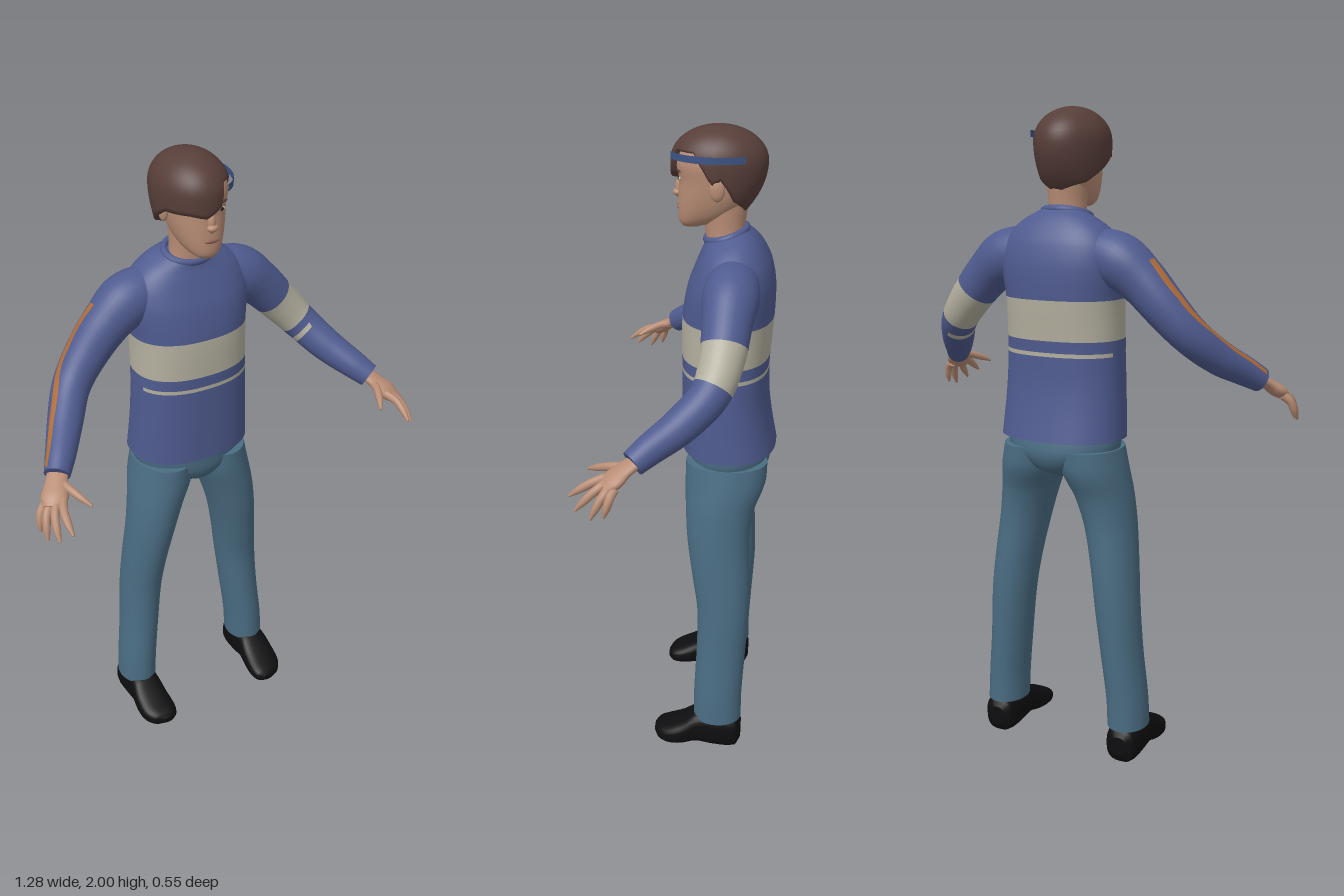
import * as THREE from 'three';

const mat = (name, color) => {
  const m = new THREE.MeshStandardMaterial({ color });
  m.name = name;
  return m;
};
const skin = mat('skin', 0xb88d75), hair = mat('hair brown', 0x573e39), shirt = mat('shirt blue', 0x4f5b8f);
const stripe = mat('stripe grey', 0xb3af9f), jeans = mat('denim', 0x4a6c82), black = mat('shoe black', 0x0e0e10);
const orange = mat('orange trim', 0xb06c38), bandBlue = mat('headband blue', 0x3c5484);
const lips = mat('lips', 0x96655a), dark = mat('eye dark', 0x241c1c);
bandBlue.side = THREE.DoubleSide;

const V = (x, y, z) => new THREE.Vector3(x, y, z);
const pow = (v, e) => Math.sign(v) * Math.abs(v) ** e;

// Skin a list of rings (counter-clockwise about the direction of travel), capped at both ends.
// pick(i, j) chooses the index of the material for each quad.
function loft(name, rings, mats, pick = () => 0) {
  const n = rings[0].length, pos = [], faces = mats.map(() => []);
  rings.forEach(r => r.forEach(p => pos.push(p.x, p.y, p.z)));
  for (let i = 0; i < rings.length - 1; i++) for (let j = 0; j < n; j++) {
    const k = (j + 1) % n, a = i * n + j, b = i * n + k;
    faces[pick(i, j)].push(a, b, b + n, a, b + n, a + n);
  }
  [rings[0], rings[rings.length - 1]].forEach((r, end) => {
    const base = pos.length / 3, mid = V(0, 0, 0);
    r.forEach(p => { pos.push(p.x, p.y, p.z); mid.addScaledVector(p, 1 / n); });
    pos.push(mid.x, mid.y, mid.z);
    for (let j = 0; j < n; j++) {
      const a = base + j, b = base + (j + 1) % n;
      faces[0].push(base + n, end ? a : b, end ? b : a);
    }
  });
  const g = new THREE.BufferGeometry();
  g.setAttribute('position', new THREE.Float32BufferAttribute(pos, 3));
  g.setIndex(faces.flat());
  let start = 0;
  faces.forEach((f, m) => { g.addGroup(start, f.length, m); start += f.length; });
  g.computeVertexNormals();
  const mesh = new THREE.Mesh(g, mats.length > 1 ? mats : mats[0]);
  mesh.name = name;
  return mesh;
}

// Smooth lookup in a table whose first column is the position; all rows have equal length.
function sample(rows, x) {
  let i = 0;
  while (i < rows.length - 2 && x > rows[i + 1][0]) i++;
  const a = rows[i], b = rows[i + 1], h = b[0] - a[0], t = (x - a[0]) / h;
  const slope = (k, c) => {
    const p = rows[Math.max(k - 1, 0)], q = rows[Math.min(k + 1, rows.length - 1)];
    return (q[c] - p[c]) / (q[0] - p[0]);
  };
  return a.map((_, c) => c === 0 ? x : a[c] * (1 + 2 * t) * (1 - t) ** 2 + b[c] * t * t * (3 - 2 * t)
    + h * (slope(i, c) * t * (1 - t) ** 2 - slope(i + 1, c) * t * t * (1 - t)));
}
const steps = (rows, k) => rows.slice(1).flatMap((r, i) =>
  Array.from({ length: k }, (_, s) => rows[i][0] + (r[0] - rows[i][0]) * s / k)).concat(rows[rows.length - 1][0]);

// Upright body part from rows of [y, centre x, half width, front z, back z, optional tilt].
function column(name, rows, mats, { k = 4, n = 40, e = 1, sx = 1, pick } = {}) {
  const ys = steps(rows, k);
  const rings = ys.map(y => {
    const [, cx, rx, zf, zb, tilt = 0] = sample(rows, y);
    return Array.from({ length: n }, (_, j) => {
      const a = j / n * Math.PI * 2, dz = (zf - zb) / 2 * pow(Math.cos(a), e);
      return V(cx * sx + rx * pow(Math.sin(a), e), y - dz * tilt, (zf + zb) / 2 + dz);
    });
  });
  return loft(name, rings, mats, pick && ((i, j) => pick((ys[i] + ys[i + 1]) / 2, (j + 0.5) / n * Math.PI * 2)));
}

// Limb along a curve with varying radius; flat squashes it, twist turns its sections.
function limb(name, pts, radii, mats, { rows = 12, n = 14, flat = 1, twist = 0, pick } = {}) {
  const curve = new THREE.CatmullRomCurve3(pts), rTable = radii.map((r, i) => [i / (radii.length - 1), r]);
  const rings = Array.from({ length: rows + 1 }, (_, i) => {
    const t = i / rows, c = curve.getPoint(t), d = curve.getTangent(t), r = sample(rTable, t)[1];
    const u = V(0, 1, 0).addScaledVector(d, -d.y).normalize(), w = d.clone().cross(u);
    return Array.from({ length: n }, (_, j) => {
      const a = j / n * Math.PI * 2 + twist * t;
      return c.clone().addScaledVector(u, Math.cos(a) * r * flat).addScaledVector(w, Math.sin(a) * r);
    });
  });
  return loft(name, rings, mats, pick);
}

function blob(name, m, p, s) {
  const mesh = new THREE.Mesh(new THREE.SphereGeometry(1, 20, 14), m);
  mesh.name = name;
  mesh.position.set(...p);
  mesh.scale.set(...s);
  return mesh;
}

function buildHead() {
  const g = new THREE.Group();
  g.name = 'head';
  g.add(column('neck', [[1.62, 0, 0.068, -0.05, -0.17], [1.7, 0, 0.057, -0.045, -0.16], [1.79, 0, 0.06, -0.03, -0.17]], [skin]));
  g.add(column('face', [[1.712, 0, 0.022, 0.02, -0.03], [1.725, 0, 0.043, 0.031, -0.07], [1.755, 0, 0.063, 0.034, -0.13],
    [1.8, 0, 0.077, 0.033, -0.17], [1.85, 0, 0.084, 0.031, -0.185], [1.9, 0, 0.088, 0.038, -0.19],
    [1.95, 0, 0.075, 0.015, -0.17], [1.98, 0, 0.04, -0.03, -0.12]], [skin], { e: 0.88 }));
  g.add(blob('nose', skin, [0, 1.82, 0.031], [0.012, 0.03, 0.012]), blob('noseTip', skin, [0, 1.808, 0.036], [0.017, 0.011, 0.014]));
  g.add(blob('mouth', lips, [0, 1.768, 0.032], [0.023, 0.007, 0.006]));
  for (const s of [1, -1]) {
    g.add(blob('ear', skin, [s * 0.09, 1.838, -0.085], [0.012, 0.034, 0.022]));
    g.add(blob('eye', stripe, [s * 0.034, 1.855, 0.025], [0.014, 0.006, 0.005]));
    g.add(blob('iris', dark, [s * 0.034, 1.855, 0.028], [0.006, 0.006, 0.004]));
    const brow = blob('eyebrow', hair, [s * 0.036, 1.877, 0.029], [0.02, 0.004, 0.005]);
    brow.rotation.y = s * 0.3;
    g.add(brow);
  }
  // Swept hair: the lower edge follows a hairline given as [degrees from front, y].
  const line = [[-180, 1.76], [-120, 1.785], [-95, 1.82], [-70, 1.855], [-35, 1.855], [-10, 1.845], [14, 1.87], [25, 1.935],
    [60, 1.935], [72, 1.9], [84, 1.85], [95, 1.865], [115, 1.8], [150, 1.765], [180, 1.76]];
  const n = 72, rows = 18, rings = [];
  for (let i = -1; i <= rows; i++) rings.push(Array.from({ length: n }, (_, j) => {
    const deg = (j / n) * 360 - 180, a = deg * Math.PI / 180;
    const q = line.findIndex(p => p[0] > deg), [d0, y0] = line[q - 1], [d1, y1] = line[q];
    const low = y0 + (y1 - y0) * (deg - d0) / (d1 - d0);
    const y = low + (1.999 - low) * Math.sin(Math.max(i, 0) / rows * Math.PI / 2);
    const back = Math.max(0, -Math.cos(a));
    let r = y > 1.9 ? Math.sqrt(1 - ((y - 1.9) / 0.1) ** 2) : 1 - (1.9 - y) ** 2 * (6 + 16 * back);
    if (i < 0) r *= 0.82;
    return V(-0.008 + 0.108 * r * Math.sin(a), y, -0.083 + 0.14 * r * Math.cos(a));
  }));
  g.add(loft('hair', rings, [hair]));
  const band = new THREE.Mesh(new THREE.CylinderGeometry(1, 1, 0.02, 28, 1, true, 0.4, 1.75), bandBlue);
  band.name = 'headband';
  band.position.set(-0.004, 1.922, -0.083);
  band.scale.set(0.112, 1, 0.146);
  g.add(band);
  return g;
}

function buildArm(s) {
  const g = new THREE.Group(), P = (x, y, z) => V(x * s, y, z);
  g.name = s > 0 ? 'leftArm' : 'rightArm';
  const path = [P(0.1, 1.59, -0.135), P(0.19, 1.562, -0.135), P(0.26, 1.51, -0.13), P(0.335, 1.43, -0.122),
    P(0.4, 1.355, -0.095), P(0.46, 1.285, -0.02), P(0.515, 1.235, 0.06), P(0.545, 1.208, 0.1)];
  // Left sleeve carries a broad and a thin band, right sleeve a line along its top.
  const pick = s > 0
    ? (i, j) => (i >= 16 && i < 23) || (i === 25 && j > 3 && j < 20) ? 1 : 0
    : (i, j) => i >= 11 && i < 41 && (j === 0 || j === 31) ? 1 : 0;
  g.add(limb('sleeve', path, [0.07, 0.082, 0.072, 0.064, 0.057, 0.052, 0.044, 0.038], [shirt, s > 0 ? stripe : orange],
    { rows: 42, n: 32, twist: s > 0 ? 0 : 0.9, pick }));
  g.add(limb('palm', [P(0.535, 1.217, 0.085), P(0.56, 1.192, 0.125), P(0.578, 1.172, 0.15), P(0.592, 1.155, 0.172)],
    [0.029, 0.034, 0.04, 0.03], [skin], { flat: 0.52, n: 18 }));
  const fingers = [['indexFinger', [0.562, 1.171, 0.172], [0.58, 1.118, 0.272]], ['middleFinger', [0.58, 1.165, 0.166], [0.612, 1.092, 0.25]],
    ['ringFinger', [0.594, 1.16, 0.156], [0.63, 1.076, 0.206]], ['littleFinger', [0.604, 1.157, 0.143], [0.635, 1.086, 0.168]],
    ['thumb', [0.543, 1.195, 0.115], [0.5, 1.163, 0.23]]];
  for (const [name, a, b] of fingers) {
    const A = P(...a), B = P(...b), at = (t, lift) => A.clone().lerp(B, t).add(P(lift, lift, 0));
    g.add(limb(name, [A, at(0.35, 0.008), at(0.7, 0.006), B], [0.014, 0.0125, 0.011, 0.004], [skin], { n: 10 }));
  }
  return g;
}

function buildLeg(s) {
  const g = new THREE.Group();
  g.name = s > 0 ? 'leftLeg' : 'rightLeg';
  g.add(column('trouserLeg', [[0.11, 0.222, 0.063, -0.035, -0.192], [0.2, 0.217, 0.063, -0.036, -0.192], [0.35, 0.201, 0.064, -0.042, -0.2],
    [0.5, 0.187, 0.068, -0.043, -0.208], [0.62, 0.173, 0.071, -0.026, -0.207], [0.75, 0.152, 0.078, -0.007, -0.202],
    [0.85, 0.13, 0.088, 0, -0.215], [0.93, 0.106, 0.098, 0.003, -0.245], [1.0, 0.096, 0.093, 0.002, -0.25]], [jeans], { sx: s, n: 32 }));
  // Shoe sections along z: [z, centre x, half width, bottom, top]
  const shoe = [[-0.192, 0.224, 0.025, 0.03, 0.09], [-0.175, 0.224, 0.048, 0.003, 0.115], [-0.1, 0.223, 0.054, 0.003, 0.13],
    [-0.045, 0.223, 0.054, 0.012, 0.125], [0, 0.223, 0.059, 0.004, 0.093], [0.045, 0.22, 0.059, 0.003, 0.07],
    [0.08, 0.213, 0.045, 0.008, 0.055], [0.096, 0.207, 0.018, 0.018, 0.04]];
  const n = 28, rings = steps(shoe, 3).map(z => {
    const [, cx, rx, lo, hi] = sample(shoe, z);
    return Array.from({ length: n }, (_, j) => {
      const a = j / n * Math.PI * 2;
      return V(s * cx - rx * pow(Math.sin(a), 0.7), Math.max(0, (lo + hi) / 2 + (hi - lo) / 2 * pow(Math.cos(a), 0.7)), z);
    });
  });
  g.add(loft('shoe', rings, [black]));
  return g;
}

export function createModel() {
  const model = new THREE.Group();
  model.name = 'standingFigure';
  // Sweater with a broad chest band and a thin line below it
  model.add(column('sweater', [[1.03, 0, 0.196, 0.02, -0.272, 0], [1.12, 0, 0.191, 0.021, -0.255, 0], [1.2, 0, 0.187, 0.021, -0.245, 0],
    [1.283, 0, 0.184, 0.021, -0.243, 0], [1.295, 0, 0.184, 0.021, -0.243, 0], [1.33, 0, 0.183, 0.022, -0.245, 0],
    [1.45, 0, 0.184, 0.02, -0.254, 0], [1.54, 0, 0.195, 0.005, -0.255, 0], [1.6, 0, 0.187, -0.015, -0.243, 0.05],
    [1.64, 0, 0.163, -0.03, -0.223, 0.1], [1.67, 0, 0.127, -0.04, -0.197, 0.2], [1.692, 0, 0.083, -0.045, -0.168, 0.3]], [shirt, stripe], {
    n: 48, e: 0.86,
    pick: (y, a) => (y > 1.33 && y < 1.45) || (y > 1.283 && y < 1.295 && Math.abs(Math.sin(a)) < 0.95) ? 1 : 0,
  }));
  const collar = new THREE.Mesh(new THREE.TorusGeometry(0.073, 0.011, 10, 40), shirt);
  collar.name = 'collar';
  collar.position.set(0, 1.692, -0.107);
  collar.rotation.x = Math.PI / 2 + 0.3;
  collar.scale.y = 0.85;
  model.add(collar);
  model.add(column('trouserSeat', [[0.905, 0, 0.035, -0.06, -0.17], [0.93, 0, 0.09, -0.02, -0.225], [0.965, 0, 0.15, 0, -0.25],
    [1.0, 0, 0.182, 0.004, -0.255], [1.07, 0, 0.18, 0.004, -0.24]], [jeans]));
  model.add(buildHead());
  for (const s of [1, -1]) model.add(buildArm(s), buildLeg(s));
  return model;
}
